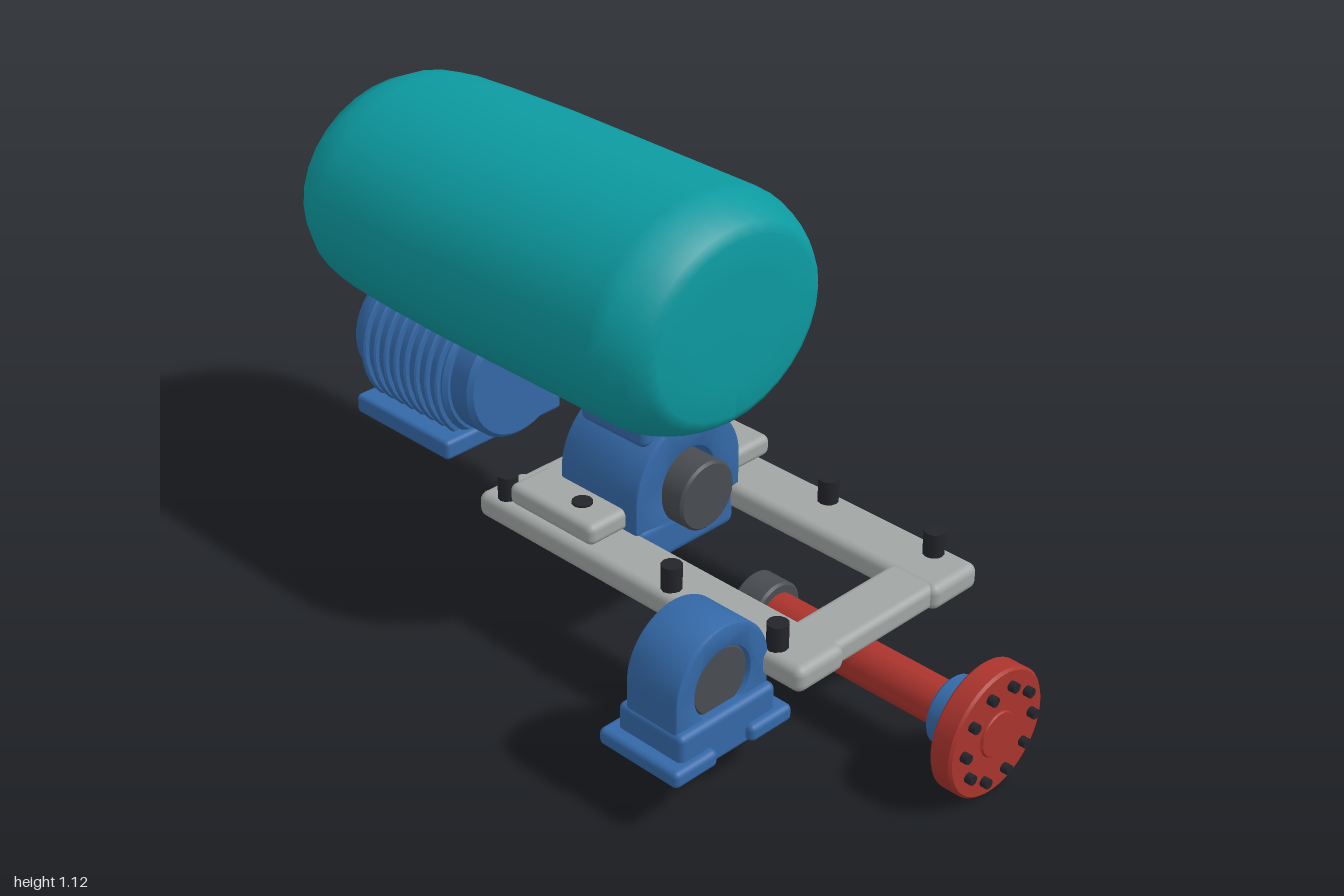
import * as THREE from 'three';
import { RoundedBoxGeometry } from 'three/addons/geometries/RoundedBoxGeometry.js';
import { toCreasedNormals } from 'three/addons/utils/BufferGeometryUtils.js';

const mat = (name, color) => Object.assign(new THREE.MeshStandardMaterial({ color }), { name });

export function createModel() {
  const teal = mat('tank teal', 0x0c9aa0);
  const blue = mat('machine blue', 0x3469a8);
  const red = mat('pipe red', 0xab342d);
  const grey = mat('frame grey', 0xa1a6a5);
  const dark = mat('shaft grey', 0x484c51);
  const black = mat('bolt black', 0x24252b);
  const model = new THREE.Group();

  const add = (parent, name, geometry, material, x = 0, y = 0, z = 0) => {
    const mesh = new THREE.Mesh(geometry, material);
    mesh.name = name;
    mesh.position.set(x, y, z);
    parent.add(mesh);
    return mesh;
  };
  const group = (name) => {
    const g = new THREE.Group();
    g.name = name;
    model.add(g);
    return g;
  };
  // Rounded box given by its limits on each axis
  const box = (parent, name, material, [x0, x1], [y0, y1], [z0, z1], r = 0.012) =>
    add(parent, name, new RoundedBoxGeometry(x1 - x0, y1 - y0, z1 - z0, 3, r), material,
      (x0 + x1) / 2, (y0 + y1) / 2, (z0 + z1) / 2);
  // Lathe turned to lie along z; points are [radius, z] from back to front
  const turned = (points, sides = 40) =>
    new THREE.LatheGeometry(points.map(([r, z]) => new THREE.Vector2(r, z)), sides).rotateX(Math.PI / 2);
  // Disc or rod along z with a small bevel
  const rod = (parent, name, material, x, y, z0, z1, r, b = 0.006) =>
    add(parent, name, toCreasedNormals(turned([[0, z0], [r - b, z0], [r, z0 + b], [r, z1 - b], [r - b, z1], [0, z1]]), 0.6),
      material, x, y);

  // Tank: flat front end, domed back, oval section
  const tankProfile = [[0, -1], [0.2, -0.999], [0.42, -0.99], [0.66, -0.972], [0.84, -0.945], [0.93, -0.89], [0.965, -0.83],
    [0.985, -0.7], [1, -0.5], [1, 0.08], [0.975, 0.115], [0.91, 0.16], [0.83, 0.195], [0.74, 0.21], [0.45, 0.212], [0, 0.213]];
  const tank = turned(tankProfile, 32).scale(0.335, 0.288, 1);
  tank.computeVertexNormals();
  add(model, 'tank', tank, teal, 0.13, 0.837);

  // Base frame: two rails and two cross beams
  const frame = group('frame');
  box(frame, 'leftRail', grey, [0.272, 0.428], [0.25, 0.315], [-0.33, 0.685], 0.022);
  box(frame, 'rightRail', grey, [-0.168, -0.02], [0.25, 0.315], [-0.33, 0.685], 0.022);
  for (const z of [0.607, -0.255])
    box(frame, 'crossBeam', grey, [-0.1, 0.36], [0.252, 0.313], [z - 0.065, z + 0.065], 0.018);
  for (const x of [-0.13, 0.387])
    for (const z of [0.585, 0.27, -0.262]) {
      add(frame, 'frameBolt', new THREE.CylinderGeometry(0.025, 0.025, 0.065, 12), black, x, 0.343, z);
    }

  // Arched housing around a shaft, extruded along z
  const arch = (r, bore, drop, depth) => {
    const s = new THREE.Shape();
    s.moveTo(-r, -drop);
    s.lineTo(r, -drop);
    s.lineTo(r, 0);
    s.absarc(0, 0, r, 0, Math.PI, false);
    s.closePath();
    s.holes.push(new THREE.Path().absarc(0, 0, bore, 0, Math.PI * 2, true));
    const g = new THREE.ExtrudeGeometry(s, {
      depth: depth - 0.016, bevelThickness: 0.008, bevelSize: 0.008, bevelOffset: -0.008, bevelSegments: 2, curveSegments: 24,
    });
    return toCreasedNormals(g.translate(0, 0, -depth / 2 + 0.008), 0.6);
  };

  // Central pump on the frame
  const pump = group('pump');
  add(pump, 'pumpHousing', arch(0.17, 0.085, 0.08, 0.25), blue, 0.13, 0.39, -0.055);
  box(pump, 'pumpBase', blue, [-0.03, 0.29], [0.207, 0.32], [-0.18, 0.07], 0.025);
  box(pump, 'tankSaddle', blue, [0.0, 0.26], [0.512, 0.6], [-0.16, 0.05], 0.02);
  rod(pump, 'pumpShaft', dark, 0.13, 0.375, -0.1, 0.13, 0.087);
  rod(pump, 'rearPumpShaft', dark, 0.13, 0.36, -0.245, -0.05, 0.075);
  for (const [x0, x1, xb] of [[0.28, 0.446, 0.36], [-0.15, -0.02, -0.085]]) {
    box(pump, 'pumpFoot', grey, [x0, x1], [0.314, 0.368], [-0.24, 0.035], 0.018);
    add(pump, 'footBolt', new THREE.CylinderGeometry(0.025, 0.025, 0.01, 12), black, xb, 0.368, -0.06);
  }

  // Pedestal bearing beside the frame
  const bearing = group('bearing');
  add(bearing, 'bearingHousing', arch(0.14, 0.083, 0.08, 0.15), blue, -0.29, 0.298, 0.505);
  box(bearing, 'bearingBase', blue, [-0.435, -0.145], [0.12, 0.235], [0.41, 0.6], 0.015);
  for (const x of [-0.405, -0.175])
    box(bearing, 'bearingFoot', blue, [x - 0.064, x + 0.064], [0.13, 0.172], [0.385, 0.62], 0.014);
  rod(bearing, 'bearingShaft', dark, -0.29, 0.298, 0.44, 0.57, 0.084);

  // Ribbed motor under the back of the tank
  const motor = group('motor');
  const my = 0.433;
  rod(motor, 'motorCore', blue, 0.13, my, -0.92, -0.505, 0.16, 0.012);
  const cap = turned([[0, -0.96], [0.08, -0.957], [0.13, -0.95], [0.152, -0.94], [0.16, -0.92], [0.16, -0.89], [0, -0.89]]);
  add(motor, 'motorEndCap', toCreasedNormals(cap, 0.8), blue, 0.13, my);
  rod(motor, 'motorBarrel', blue, 0.13, my, -0.885, -0.575, 0.178, 0.01);
  for (let i = 0; i < 8; i++) {
    const z = -0.865 + i * 0.038;
    rod(motor, 'coolingFin', blue, 0.13, my, z - 0.008, z + 0.008, 0.193, 0.004);
  }
  box(motor, 'motorBase', blue, [-0.06, 0.32], [0.25, 0.302], [-0.905, -0.56], 0.012);

  // Flanged pipe at the front
  const pipe = group('pipe');
  const px = 0.13, py = 0.16;
  rod(pipe, 'pipeTube', red, px, py, 0.32, 0.87, 0.053);
  rod(pipe, 'pipeEndCap', dark, px, py, 0.275, 0.353, 0.077);
  rod(pipe, 'pipeCollar', blue, px, py, 0.852, 0.935, 0.082);
  rod(pipe, 'flange', red, px, py, 0.925, 0.983, 0.155);
  rod(pipe, 'flangeCentre', red, px, py, 0.975, 0.988, 0.055, 0.003);
  for (let i = 0; i < 10; i++) {
    const a = (i / 10) * Math.PI * 2;
    const bolt = new THREE.CylinderGeometry(0.012, 0.012, 0.024, 10).rotateX(Math.PI / 2);
    add(pipe, 'flangeBolt', bolt, black, px + 0.113 * Math.cos(a), py + 0.113 * Math.sin(a), 0.988);
  }
  return model;
}
